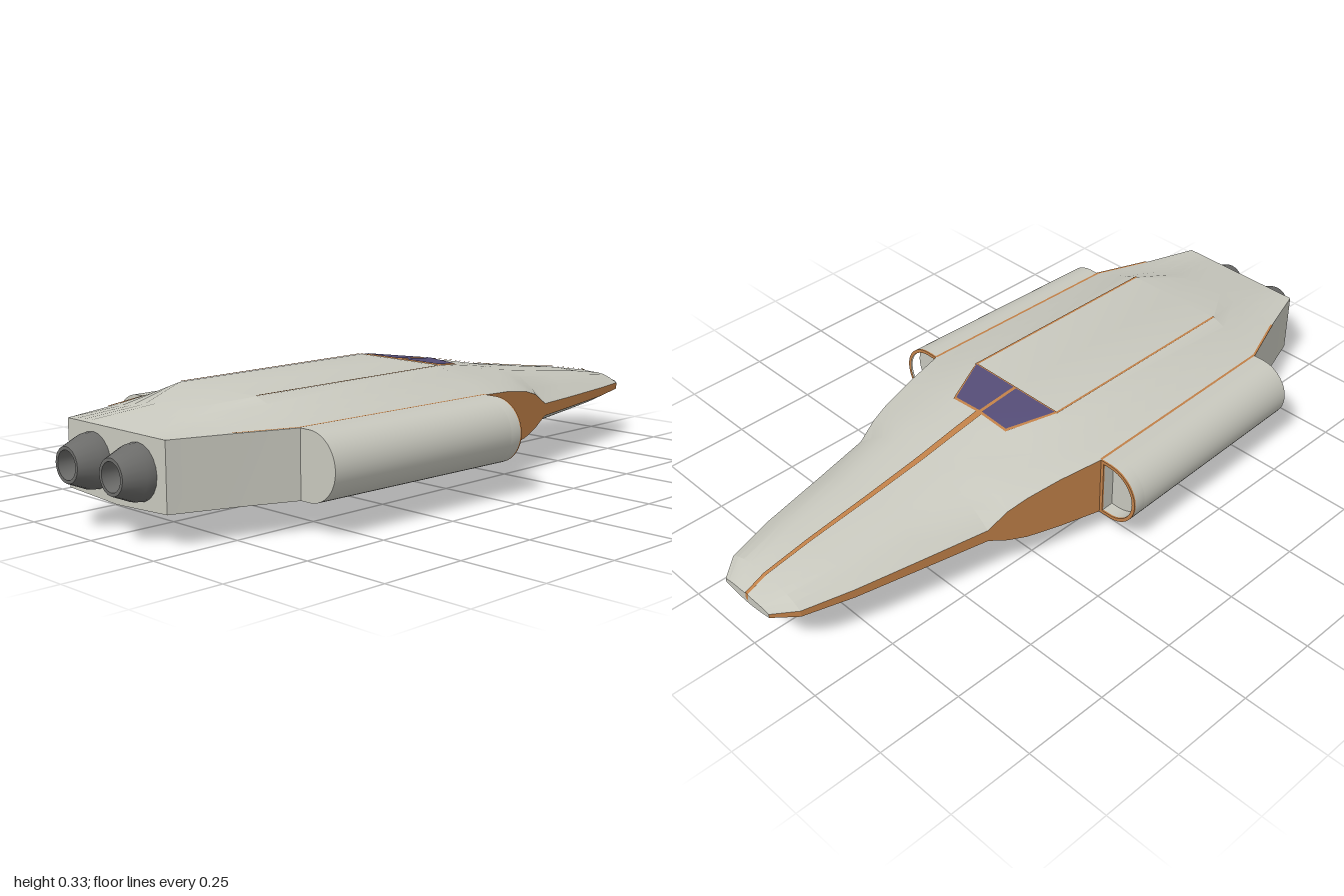
import * as THREE from 'three';
import { toCreasedNormals } from 'three/addons/utils/BufferGeometryUtils.js';

const mat = (name, color, side = THREE.FrontSide) => {
  const m = new THREE.MeshStandardMaterial({ color, side });
  m.name = name;
  return m;
};

// Hull stations: x, half width, side top y, side bottom y, roof half width, roof edge y, roof y, keel y, upper bulge, lower bulge
const STATIONS = [
  [-0.92, 0.2, 0.265, 0.085, 0.1, 0.265, 0.265, 0.075, 0, 0],
  [-0.75, 0.257, 0.265, 0.084, 0.06, 0.297, 0.297, 0.05, 0, 0],
  [-0.6, 0.315, 0.265, 0.083, 0.155, 0.323, 0.323, 0.008, 0, 0],
  [0.07, 0.332, 0.265, 0.083, 0.16, 0.326, 0.326, 0, 0, 0],
  [0.2, 0.305, 0.255, 0.092, 0.1, 0.308, 0.315, 0.015, 0.004, 0],
  [0.3, 0.285, 0.24, 0.105, 0.08, 0.293, 0.298, 0.027, 0.01, 0.002],
  [0.36, 0.272, 0.222, 0.122, 0.07, 0.283, 0.287, 0.034, 0.016, 0.004],
  [0.42, 0.26, 0.186, 0.15, 0.062, 0.273, 0.276, 0.04, 0.026, 0.01],
  [0.6, 0.222, 0.181, 0.15, 0.053, 0.248, 0.25, 0.061, 0.02, 0.01],
  [0.8, 0.18, 0.177, 0.151, 0.045, 0.222, 0.224, 0.085, 0.014, 0.01],
  [0.94, 0.14, 0.172, 0.153, 0.04, 0.198, 0.2, 0.115, 0.009, 0.007],
  [1, 0.09, 0.167, 0.155, 0.03, 0.172, 0.174, 0.145, 0.002, 0.002],
];
const STEPS = 4; // divisions from roof edge to side, and from side to keel
const BAND = 1 + STEPS; // strip index of the side panel

// Half section for z >= 0, running from roof to keel
function section([x, w, yu, yl, t, ty, top, bot, bu, bl]) {
  const pts = [[x, top, 0]];
  for (let i = 0; i <= STEPS; i++) {
    const k = i / STEPS;
    pts.push([x, ty + (yu - ty) * k + bu * Math.sin(Math.PI * k), t + (w - t) * k]);
  }
  for (let i = 0; i <= STEPS; i++) {
    const k = i / STEPS;
    pts.push([x, yl + (bot - yl) * k - bl * Math.sin(Math.PI * k), w * (1 - k)]);
  }
  return pts;
}

// Adds a triangle and its mirror image across z = 0
function addTri(out, a, b, c) {
  const m = (p) => [p[0], p[1], -p[2]];
  out.push(...a, ...b, ...c, ...m(a), ...m(c), ...m(b));
}

// Skins neighbouring rows; pick(row, column) chooses the list to fill
function skin(rows, pick) {
  for (let i = 0; i < rows.length - 1; i++) {
    for (let j = 0; j < rows[i].length - 1; j++) {
      const a = rows[i][j], b = rows[i + 1][j], c = rows[i + 1][j + 1], d = rows[i][j + 1];
      const out = pick(i, j);
      addTri(out, a, d, b);
      addTri(out, b, d, c);
    }
  }
}

function toGeometry(list, crease = 0.3) {
  const g = new THREE.BufferGeometry();
  g.setAttribute('position', new THREE.Float32BufferAttribute(list, 3));
  return toCreasedNormals(g, crease);
}

export function createModel() {
  const model = new THREE.Group();
  model.name = 'spacecraft';
  const hullGrey = mat('hull grey', 0xc8c8be);
  const orange = mat('orange trim', 0xc08048);
  const orangeLine = mat('orange line', 0xc08048, THREE.DoubleSide);
  const glass = mat('dark violet glass', 0x544c76, THREE.DoubleSide);
  const metal = mat('engine metal', 0x6c6c6a, THREE.DoubleSide);

  const add = (name, geometry, material, parent = model) => {
    const mesh = new THREE.Mesh(geometry, material);
    mesh.name = name;
    parent.add(mesh);
    return mesh;
  };

  // Hull with orange side panels running to the nose
  const rows = STATIONS.map(section);
  const hull = [], panels = [];
  skin(rows, (i, j) => (j === BAND && i >= 3 ? panels : hull));
  const first = rows[0], last = rows[rows.length - 1];
  for (let j = 0; j < first.length - 1; j++) {
    addTri(hull, [-0.92, 0.17, 0], first[j + 1], first[j]);
    addTri(hull, [1, 0.16, 0], last[j], last[j + 1]);
  }
  add('hull', toGeometry(hull), hullGrey);
  add('sidePanels', toGeometry(panels), orange);

  // Cockpit windows on an orange frame
  const plate = (grid) => {
    const list = [];
    skin(grid, () => list);
    return toGeometry(list);
  };
  add('windowFrame', plate([
    [[0.064, 0.3285, 0], [0.064, 0.3285, 0.163]],
    [[0.206, 0.316, 0], [0.206, 0.309, 0.104]],
  ]), orangeLine);
  add('windows', plate([
    [[0.07, 0.3305, 0.005], [0.07, 0.3305, 0.156]],
    [[0.2, 0.319, 0.005], [0.2, 0.3125, 0.099]],
  ]), glass);

  // Ridge stripe down to the nose tip
  const ridge = STATIONS.slice(4).map((s) => {
    const w = 0.011 - 0.006 * (s[0] - 0.2) / 0.8;
    return [[s[0], s[6] + 0.003, 0], [s[0], s[6] + 0.003, w]];
  });
  ridge.push([[1.001, 0.156, 0], [1.001, 0.156, 0.005]]);
  add('ridgeStripe', plate(ridge), orangeLine);

  // Thin seams along the roof edges and shoulders
  const seam = (points) => plate(points.map(([x, y, z]) => [[x, y + 0.002, z - 0.004], [x, y + 0.002, z + 0.003]]));
  add('roofSeams', seam([[-0.6, 0.323, 0.155], [0.07, 0.326, 0.16]]), orangeLine);
  add('shoulderSeams', seam([[-0.76, 0.265, 0.253], [-0.6, 0.265, 0.315], [0.07, 0.265, 0.332]]), orangeLine);

  // D-shaped side pods with open intakes
  const dShape = (Type, side, inset) => {
    const r = 0.091 - inset, inner = 0.332 + inset, mid = 0.367;
    const s = new Type();
    s.moveTo(-side * inner, 0.174 - r);
    for (let i = 0; i <= 20; i++) {
      const a = -Math.PI / 2 + (Math.PI * i) / 20;
      s.lineTo(-side * (mid + r * Math.cos(a)), 0.174 + r * Math.sin(a));
    }
    s.lineTo(-side * inner, 0.174 + r);
    s.closePath();
    return s;
  };
  const podPart = (side, x0, x1, hollow) => {
    const shape = dShape(THREE.Shape, side, 0);
    if (hollow) shape.holes.push(dShape(THREE.Path, side, 0.01));
    const g = new THREE.ExtrudeGeometry(shape, { depth: x1 - x0, bevelEnabled: false, steps: 1 });
    g.rotateY(Math.PI / 2).translate(x0, 0, 0);
    // The pods lean inward towards the rear
    const p = g.attributes.position;
    for (let i = 0; i < p.count; i++) {
      p.setZ(i, p.getZ(i) - side * 0.02 * (0.07 - p.getX(i)) / 0.67);
    }
    return toCreasedNormals(g, 0.5);
  };

  for (const side of [1, -1]) {
    const pod = new THREE.Group();
    pod.name = side > 0 ? 'leftPod' : 'rightPod';
    model.add(pod);
    add('podBody', podPart(side, -0.6, 0.03, false), hullGrey, pod);
    add('intakeWall', podPart(side, 0.03, 0.066, true), hullGrey, pod);
    add('intakeLip', podPart(side, 0.066, 0.071, true), orange, pod);

    // Hollow tapered engine nozzle
    const profile = [[0.073, 0], [0.07, 0.025], [0.047, 0.08], [0.038, 0.08], [0.034, 0.03], [0, 0.03]]
      .map(([r, h]) => new THREE.Vector2(r, h));
    const g = toCreasedNormals(new THREE.LatheGeometry(profile, 20).toNonIndexed(), 0.5);
    const nozzle = add(side > 0 ? 'leftNozzle' : 'rightNozzle', g, metal);
    nozzle.rotation.z = Math.PI / 2;
    nozzle.position.set(-0.92, 0.172, side * 0.092);
  }
  return model;
}
